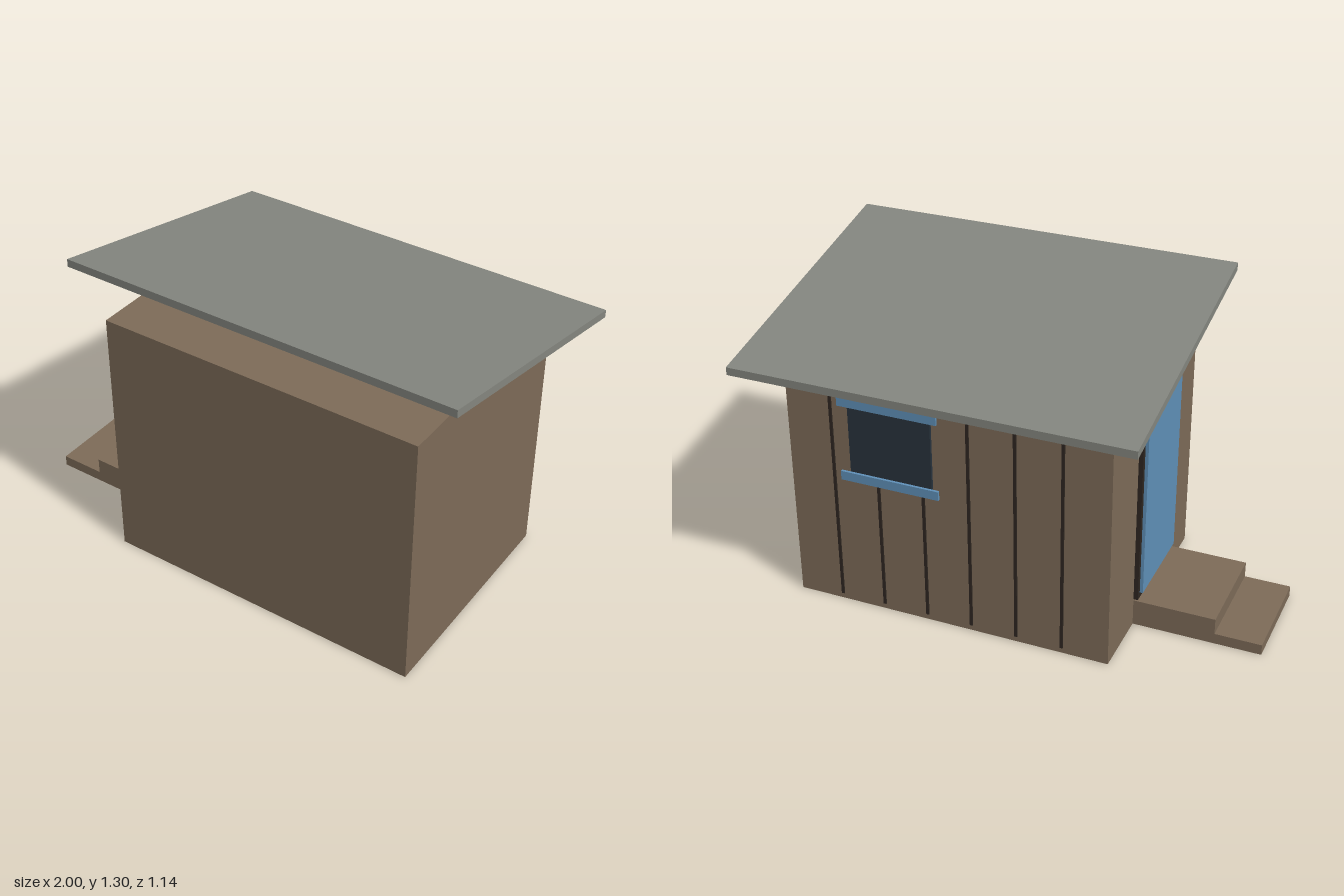
import * as THREE from 'three';

const flat = (name, color) => {
  const m = new THREE.MeshStandardMaterial({ color });
  m.name = name;
  return m;
};

export function createModel() {
  const shed = new THREE.Group();
  shed.name = 'shed';

  const wood = flat('brown wood', 0x7d6b58);
  const roofing = flat('grey roofing', 0x84867f);
  const blue = flat('blue paint', 0x5f90b8);
  const glass = flat('dark glass', 0x28333d);
  const dark = flat('dark groove', 0x2e2621);

  // Box given by its lower and upper bounds on each axis
  const box = (name, material, [x0, x1], [y0, y1], [z0, z1]) => {
    const mesh = new THREE.Mesh(new THREE.BoxGeometry(x1 - x0, y1 - y0, z1 - z0), material);
    mesh.position.set((x0 + x1) / 2, (y0 + y1) / 2, (z0 + z1) / 2);
    mesh.name = name;
    shed.add(mesh);
    return mesh;
  };

  const left = -0.475, right = 0.855, back = -0.403;

  // Cabin body
  box('body', wood, [left, right], [0, 1.075], [back, 0.55]);

  // Steps up to the door
  box('upperStep', wood, [-0.81, left], [0, 0.112], [-0.12, 0.305]);
  box('lowerStep', wood, [-1, -0.81], [0, 0.045], [-0.12, 0.305]);

  // Door: dark frame slab with a painted leaf in front
  box('doorFrame', dark, [-0.493, left], [0.118, 1.085], [-0.12, 0.305]);
  box('doorLeaf', blue, [-0.506, -0.493], [0.142, 1.052], [-0.1, 0.285]);

  // Plank grooves on the back wall
  const planks = 7;
  for (let i = 1; i < planks; i++) {
    const x = left + (right - left) * i / planks;
    box('plankGroove', dark, [x - 0.006, x + 0.006], [0.025, 1.06], [back - 0.006, back]);
  }

  // Back window with rails above and below
  box('window', glass, [0.243, 0.587], [0.6, 0.925], [back - 0.012, back]);
  for (const y of [0.582, 0.905]) {
    box('windowRail', blue, [0.212, 0.625], [y, y + 0.038], [-0.426, -0.415]);
  }

  // Sloping roof with upright ends, extruded along x
  const profile = new THREE.Shape([
    new THREE.Vector2(-0.57, 1.265),
    new THREE.Vector2(0.57, 1.028),
    new THREE.Vector2(0.57, 1.06),
    new THREE.Vector2(-0.57, 1.297),
  ]);
  const roofGeometry = new THREE.ExtrudeGeometry(profile, { depth: 1.62, bevelEnabled: false });
  roofGeometry.rotateY(Math.PI / 2);
  roofGeometry.translate(-0.62, 0, 0);
  const roof = new THREE.Mesh(roofGeometry, roofing);
  roof.name = 'roof';
  shed.add(roof);

  return shed;
}
